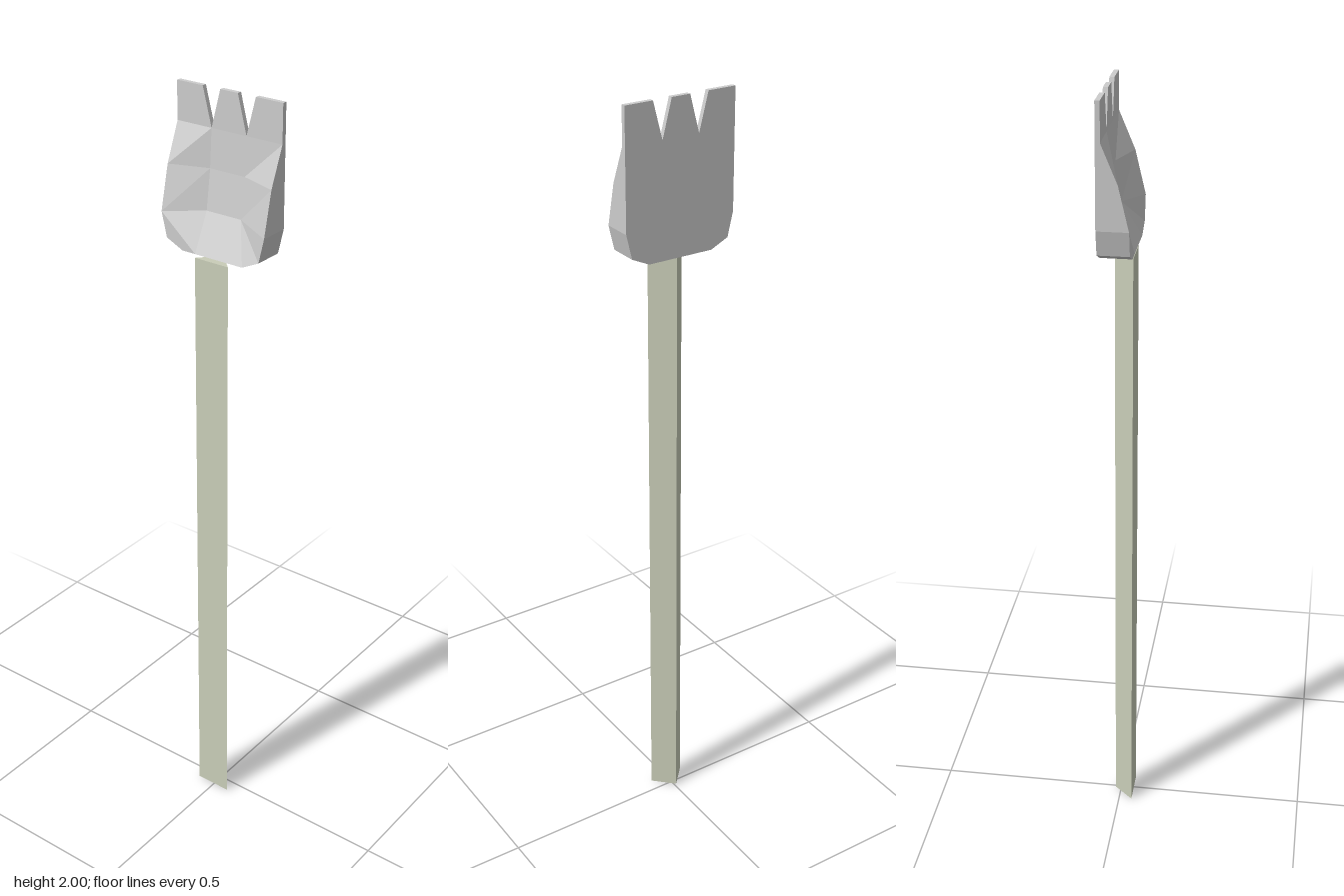
import * as THREE from 'three';

// Flat-shaded geometry from polygons, each split into a triangle fan
function facetGeometry(polygons) {
  const pos = [];
  for (const p of polygons)
    for (let i = 1; i < p.length - 1; i++) pos.push(...p[0], ...p[i], ...p[i + 1]);
  const g = new THREE.BufferGeometry();
  g.setAttribute('position', new THREE.Float32BufferAttribute(pos, 3));
  g.computeVertexNormals();
  return g;
}

const mirror = ([x, y, z]) => [-x, y, z];
const toBack = ([x, y]) => [x, y, -0.04];

function forkHeadGeometry() {
  // Half of the front rim, from the bottom edge up to the middle tine
  const o = [
    [0.05, 1.615, 0.038], [0.088, 1.615, 0.038], [0.135, 1.637, 0.038], [0.15, 1.7, 0.038],
    [0.15, 1.81, 0.012], [0.15, 1.905, -0.028], [0.15, 2, -0.028],
    [0.075, 2, -0.028], [0.05, 1.905, -0.028], [0.025, 2, -0.028],
  ];
  // Points in the hollow of the bowl
  const a = [0.05, 1.81, -0.022], b = [0.05, 1.71, -0.008];
  const m = o.map(mirror), a2 = mirror(a), b2 = mirror(b);

  // Outer front facets, mirrored
  const side = [
    [b, o[0], o[1], o[2], o[3]],
    [b, o[3], o[4], a],
    [a, o[4], o[5], o[8]],
    [o[8], o[5], o[6], o[7]],
  ];
  const polys = [...side, ...side.map((p) => p.map(mirror).reverse())];

  // Centre column of the bowl and the middle tine
  polys.push([m[0], o[0], b, b2], [b2, b, a, a2], [a2, a, o[8], m[8]], [m[8], o[8], o[9], m[9]]);

  // Walls around the rim
  const rim = [...o, ...m.slice().reverse()];
  rim.forEach((p, i) => {
    const q = rim[(i + 1) % rim.length];
    polys.push([p, toBack(p), toBack(q), q]);
  });

  // Flat back
  const flat = rim.map(([x, y]) => new THREE.Vector2(x, y));
  for (const [i, j, k] of THREE.ShapeUtils.triangulateShape(flat, []))
    polys.push([toBack(rim[i]), toBack(rim[k]), toBack(rim[j])]);

  return facetGeometry(polys);
}

function handleGeometry() {
  // Triangular bar with its flat face to the front
  const section = [[-0.053, 0.035], [0.045, 0.035], [-0.006, -0.016]];
  const at = (y) => section.map(([x, z]) => [x, y, z]);
  const lo = at(0), hi = at(1.604);
  const polys = [hi, lo.slice().reverse()];
  for (let i = 0; i < 3; i++) {
    const j = (i + 1) % 3;
    polys.push([lo[i], lo[j], hi[j], hi[i]]);
  }
  return facetGeometry(polys);
}

export function createModel() {
  const metal = new THREE.MeshStandardMaterial({ color: 0xcccccc });
  metal.name = 'paleGrey';
  const wood = new THREE.MeshStandardMaterial({ color: 0xc9cdb8 });
  wood.name = 'paleOlive';
  metal.flatShading = wood.flatShading = true;

  const group = new THREE.Group();
  group.name = 'fork';
  const head = new THREE.Mesh(forkHeadGeometry(), metal);
  head.name = 'forkHead';
  const handle = new THREE.Mesh(handleGeometry(), wood);
  handle.name = 'handle';
  group.add(head, handle);
  return group;
}
